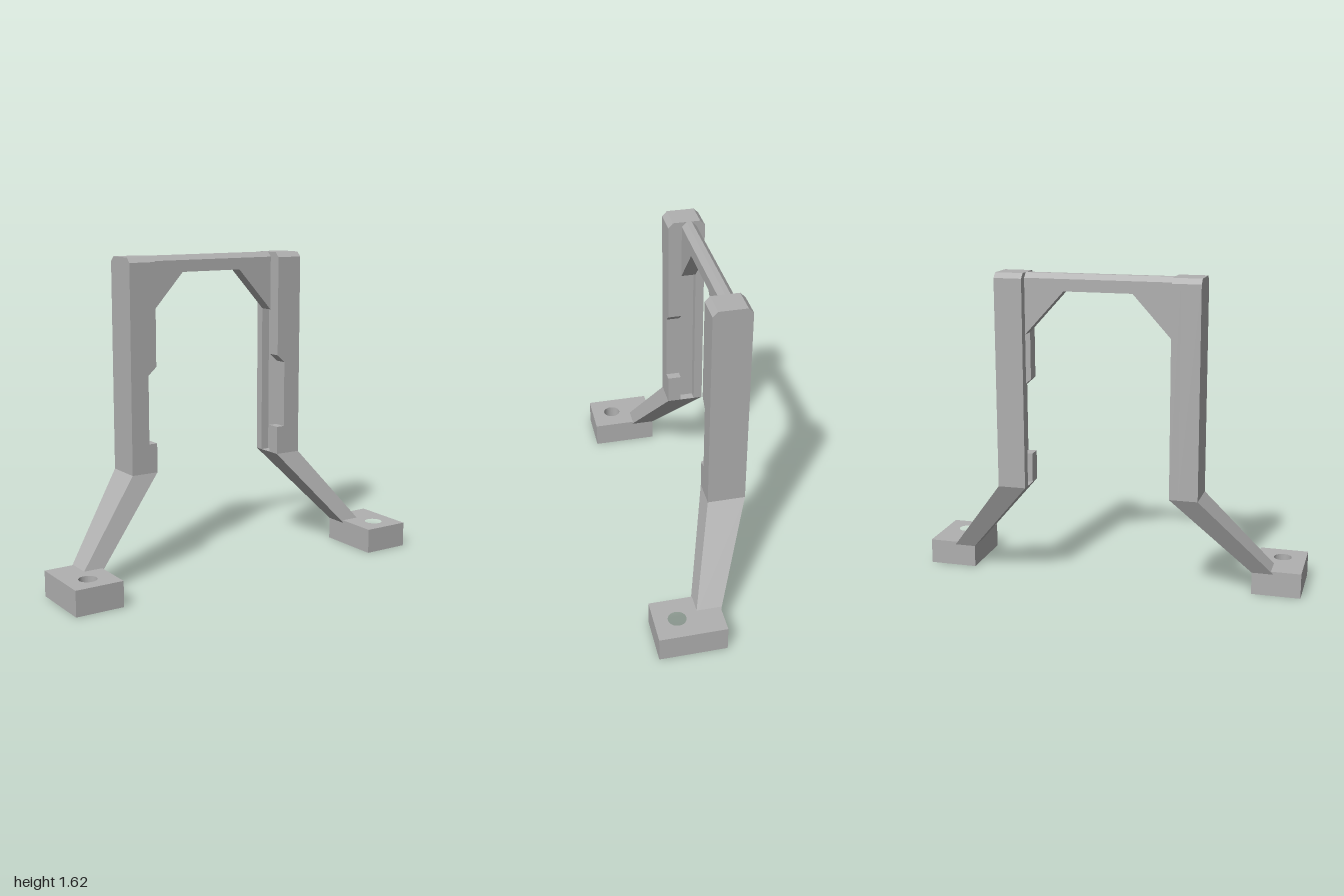
import * as THREE from 'three';
import { ConvexGeometry } from 'three/addons/geometries/ConvexGeometry.js';

const grey = new THREE.MeshStandardMaterial({ color: 0xb0b0b0 });
grey.name = 'grey plastic';

// Heights and depths shared by the parts
const TOP = 1.615, KNEE = 0.53, GROOVE_TOP = 1.31, CHAMFER = 0.025;
const FRONT = -0.08, BACK = -0.27, GROOVE_FRONT = -0.15, GROOVE_BACK = -0.225;

function part(name, geometry) {
  const mesh = new THREE.Mesh(geometry, grey);
  mesh.name = name;
  return mesh;
}

const shapeOf = (points) => new THREE.Shape(points.map(([a, b]) => new THREE.Vector2(a, b)));
const extrude = (shape, depth) =>
  new THREE.ExtrudeGeometry(shape, { depth, bevelEnabled: false, curveSegments: 20 });

// Prism with an (x, y) outline between two depths
const prismZ = (points, z0, z1) => extrude(shapeOf(points), z1 - z0).translate(0, 0, z0);

// Prism with a (z, y) outline between two x positions
const prismX = (points, xa, xb) =>
  extrude(shapeOf(points.map(([z, y]) => [-z, y])), Math.abs(xb - xa))
    .rotateY(Math.PI / 2)
    .translate(Math.min(xa, xb), 0, 0);

// Post with a vertical groove on its inner face and a notch in the front lip
function createPost(outer, inner, floor) {
  const post = new THREE.Group();
  post.name = 'post';
  const crown = [
    [FRONT, TOP - CHAMFER], [FRONT - CHAMFER, TOP], [BACK + CHAMFER, TOP], [BACK, TOP - CHAMFER],
  ];
  post.add(
    part('postBody', prismX([[FRONT, KNEE], ...crown, [BACK, KNEE]], outer, floor)),
    part('postBackLip', prismX([
      [FRONT, GROOVE_TOP], ...crown, [BACK, KNEE], [GROOVE_BACK, KNEE], [GROOVE_BACK, GROOVE_TOP],
    ], floor, inner)),
    part('lowerFrontLip', prismZ(
      [[floor, KNEE], [inner, KNEE], [inner, 0.68], [floor, 0.68]], GROOVE_FRONT, FRONT)),
    part('upperFrontLip', prismZ(
      [[floor, 1.03], [inner, 1.07], [inner, GROOVE_TOP], [floor, GROOVE_TOP]], GROOVE_FRONT, FRONT)),
  );
  return post;
}

// Splayed leg tapering from the post down to the foot
function createLeg(side, outer, inner) {
  const points = [];
  const ring = (xs, zs, y) => {
    for (const x of xs) for (const z of zs) points.push(new THREE.Vector3(x, y, z));
  };
  ring([outer, inner], [FRONT, BACK], KNEE);
  ring([side * 0.86, side * 0.75], [0.055, -0.07], 0.115);
  return part('leg', new ConvexGeometry(points));
}

// Foot block with a vertical screw hole
function createFoot(side) {
  const x0 = side * 0.75, x1 = side;
  const shape = shapeOf([[x0, 0.07], [x1, 0.07], [x1, -0.27], [x0, -0.27]]);
  const hole = new THREE.Path();
  hole.absarc(side * 0.88, -0.155, 0.046, 0, Math.PI * 2, true);
  shape.holes.push(hole);
  return part('foot', extrude(shape, 0.13).rotateX(-Math.PI / 2));
}

// Crossbar with corner gussets and a chamfered top edge
function createCrossbar() {
  const bar = new THREE.Group();
  bar.name = 'crossbar';
  const left = -0.36, right = 0.385, shoulder = TOP - CHAMFER;
  bar.add(
    part('gussetPlate', prismZ([
      [left, GROOVE_TOP], [-0.16, 1.53], [0.185, 1.53], [right, GROOVE_TOP],
      [right, shoulder], [left, shoulder],
    ], GROOVE_BACK, GROOVE_FRONT)),
    part('crossbarTop', prismX([
      [GROOVE_FRONT, shoulder], [GROOVE_FRONT - CHAMFER, TOP],
      [GROOVE_BACK + CHAMFER, TOP], [GROOVE_BACK, shoulder],
    ], left, right)),
  );
  return bar;
}

export function createModel() {
  const model = new THREE.Group();
  model.name = 'supportFrame';
  const sides = [
    { side: -1, outer: -0.503, inner: -0.36, floor: -0.405 },
    { side: 1, outer: 0.527, inner: 0.385, floor: 0.43 },
  ];
  for (const { side, outer, inner, floor } of sides) {
    model.add(createPost(outer, inner, floor), createLeg(side, outer, inner), createFoot(side));
  }
  model.add(createCrossbar());
  return model;
}
